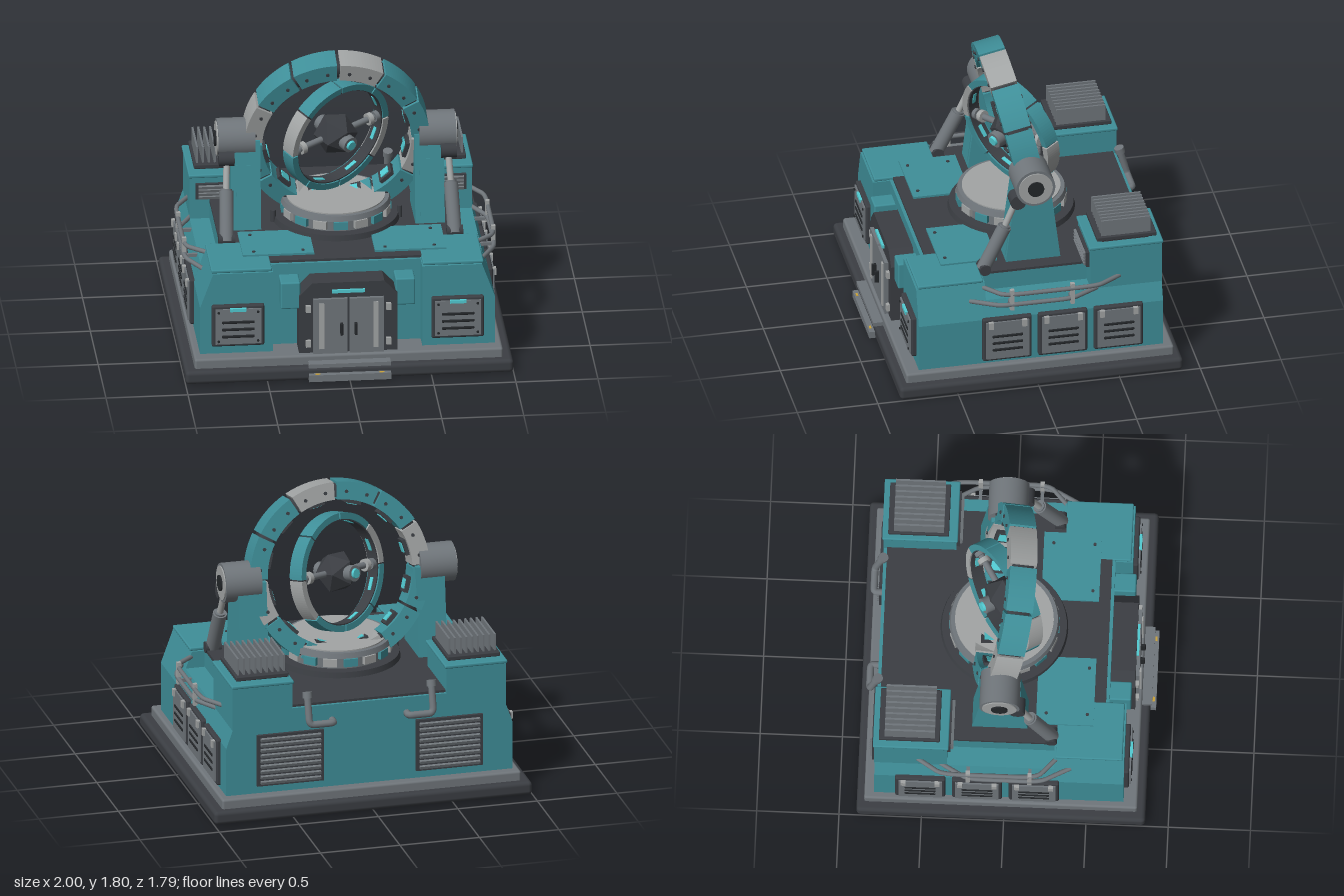
import * as THREE from 'three';
import { RoundedBoxGeometry } from 'three/addons/geometries/RoundedBoxGeometry.js';

const mat = (color) => new THREE.MeshStandardMaterial({ color });
const teal = mat(0x3f8f99), dark = mat(0x3b3e43), black = mat(0x24272a);
const grey = mat(0x70767b), light = mat(0xa2a5a5), glow = mat(0x52cbd2), yellow = mat(0xc9a23a);
const ZC = -0.037; // centre line of turntable and rings
const V = (x, y, z) => new THREE.Vector3(x, y, z);

function add(parent, name, geo, material, x = 0, y = 0, z = 0) {
  const m = new THREE.Mesh(geo, material);
  m.name = name;
  m.position.set(x, y, z);
  parent.add(m);
  return m;
}
function group(parent, name, x = 0, y = 0, z = 0) {
  const g = new THREE.Group();
  g.name = name;
  g.position.set(x, y, z);
  parent.add(g);
  return g;
}
// Box given by its min and max on each axis, optionally rounded
function box(parent, name, material, [x0, x1], [y0, y1], [z0, z1], r = 0) {
  const w = Math.abs(x1 - x0), h = y1 - y0, d = z1 - z0;
  const geo = r ? new RoundedBoxGeometry(w, h, d, 2, r) : new THREE.BoxGeometry(w, h, d);
  return add(parent, name, geo, material, (x0 + x1) / 2, (y0 + y1) / 2, (z0 + z1) / 2);
}
// Cylinder between two points
function rod(parent, name, material, a, b, r, r2 = r, sides = 20) {
  const d = b.clone().sub(a);
  const m = add(parent, name, new THREE.CylinderGeometry(r2, r, d.length(), sides), material);
  m.position.copy(a).add(b).multiplyScalar(0.5);
  m.quaternion.setFromUnitVectors(V(0, 1, 0), d.normalize());
  return m;
}
// Outline in x and y pushed from z0 to z1
function prism(parent, name, material, pts, z0, z1) {
  const shape = new THREE.Shape(pts.map((p) => new THREE.Vector2(...p)));
  const geo = new THREE.ExtrudeGeometry(shape, { depth: z1 - z0, bevelEnabled: false });
  return add(parent, name, geo, material, 0, 0, z0);
}
// Pipe with straight runs and rounded corners
function pipe(parent, name, material, pts, r) {
  const path = new THREE.CurvePath();
  let from = pts[0];
  for (let i = 1; i < pts.length - 1; i++) {
    const a = pts[i].clone().lerp(pts[i - 1], 0.2), b = pts[i].clone().lerp(pts[i + 1], 0.2);
    path.add(new THREE.LineCurve3(from, a));
    path.add(new THREE.QuadraticBezierCurve3(a, pts[i], b));
    from = b;
  }
  path.add(new THREE.LineCurve3(from, pts[pts.length - 1]));
  add(parent, name, new THREE.TubeGeometry(path, 40, r, 10), material);
}
// Arc block of a ring, centred on z
function arcBlock(parent, name, material, r0, r1, a0, a1, depth) {
  const s = new THREE.Shape();
  s.absarc(0, 0, r1, a0, a1, false);
  s.absarc(0, 0, r0, a1, a0, true);
  const geo = new THREE.ExtrudeGeometry(s, { depth, bevelEnabled: false, curveSegments: 8 });
  return add(parent, name, geo, material, 0, 0, -depth / 2);
}
// Framed access panel facing +z
function ventPanel(parent, name, w, h, x, y, z, turn = 0, strip = true) {
  const g = group(parent, name, x, y, z);
  g.rotation.y = turn;
  box(g, 'panelFrame', dark, [-w / 2, w / 2], [-h / 2, h / 2], [-0.02, 0.02], 0.012);
  box(g, 'panelDoor', grey, [-w / 2 + 0.02, w / 2 - 0.02], [-h / 2 + 0.02, h / 2 - 0.02], [0, 0.03]);
  for (let i = 0; i < 3; i++) {
    const sy = -0.065 + i * 0.047;
    box(g, 'panelSlot', black, [-w * 0.31, w * 0.31], [sy - 0.009, sy + 0.009], [0.02, 0.036], 0.006);
  }
  if (strip) box(g, 'panelLight', glow, [-0.05, 0.05], [h / 2 - 0.035, h / 2 - 0.015], [0.02, 0.037]);
  for (const s of [-1, 1]) {
    if (!strip) box(g, 'panelClip', light, [s * w * 0.34 - 0.015, s * w * 0.34 + 0.015], [h / 2 - 0.06, h / 2 - 0.015], [0.02, 0.042]);
    else for (const t of [-1, 1]) rod(g, 'panelBolt', black, V(s * (w / 2 - 0.04), t * (h / 2 - 0.04), 0.02), V(s * (w / 2 - 0.04), t * (h / 2 - 0.04), 0.037), 0.008, 0.008, 8);
  }
}
// Louvred grille facing +z
function grille(parent, name, w, h, n, x, y, z, turn = 0) {
  const g = group(parent, name, x, y, z);
  g.rotation.y = turn;
  box(g, 'grilleFrame', dark, [-w / 2, w / 2], [-h / 2, h / 2], [-0.01, 0.016]);
  for (let i = 0; i < n; i++) {
    const sy = -h / 2 + (h * (i + 0.75)) / (n + 0.5);
    box(g, 'grilleSlat', grey, [-w * 0.45, w * 0.45], [sy - 0.009, sy + 0.009], [0, 0.03]).rotation.x = 0.3;
  }
}

function buildBase(root) {
  const g = group(root, 'base');
  box(g, 'baseSlab', dark, [-1, 1], [0, 0.085], [-0.895, 0.86], 0.025);
  box(g, 'plinth', grey, [-0.94, 0.94], [0.07, 0.145], [-0.85, 0.81], 0.015);
  box(g, 'lowerStep', grey, [-0.25, 0.25], [0.005, 0.048], [0.8, 0.895]);
  box(g, 'upperStep', grey, [-0.25, 0.25], [0.085, 0.11], [0.78, 0.87]);
  for (const s of [-1, 1]) box(g, 'stepMarker', yellow, [s * 0.18, s * 0.21], [0.04, 0.051], [0.872, 0.885]);
}

function buildBody(root) {
  const g = group(root, 'body');
  const half = [[0.9, 0.14], [0.9, 0.45], [0.86, 0.565], [0.74, 0.565], [0.74, 0.675]];
  const mirrored = half.map(([x, y]) => [-x, y]).reverse();
  prism(g, 'hull', teal, [...half, ...mirrored], -0.79, 0.32);
  box(g, 'frontHull', teal, [-0.47, 0.47], [0.14, 0.675], [0.3, 0.62]);
  box(g, 'deck', dark, [-0.74, 0.74], [0.67, 0.69], [-0.77, 0.6]);
  for (const s of [-1, 1]) {
    // Front corner pods
    const pod = [[0.455, 0.14], [0.9, 0.14], [0.9, 0.45], [0.82, 0.67], [0.455, 0.67]].map(([x, y]) => [s * x, y]);
    prism(g, 'frontPod', teal, pod, 0.3, 0.725);
    box(g, 'podLid', teal, [s * 0.46, s * 0.83], [0.67, 0.692], [0.31, 0.715], 0.008);
    box(g, 'deckPlate', teal, [s * 0.185, s * 0.62], [0.685, 0.703], [0.18, 0.53]);
    for (const [x, z] of [[0.25, 0.49], [0.55, 0.49], [0.55, 0.24]]) rod(g, 'plateBolt', dark, V(s * x, 0.7, z), V(s * x, 0.71, z), 0.01, 0.01, 8);
    ventPanel(g, 'frontPanel', 0.32, 0.27, s * 0.67, 0.335, 0.735);
    for (const z of [0.18, -0.165, -0.51]) ventPanel(g, 'sidePanel', 0.305, 0.295, s * 0.905, 0.315, z, s * Math.PI / 2, false);
    grille(g, 'rearGrille', 0.42, 0.33, 9, s * 0.5, 0.36, -0.795, Math.PI);
    // Rear tower with heat sink
    const t = group(g, 'rearTower');
    box(t, 'towerBox', teal, [s * 0.485, s * 0.86], [0.56, 0.84], [-0.793, -0.35]);
    box(t, 'towerLid', teal, [s * 0.475, s * 0.867], [0.835, 0.857], [-0.8, -0.34], 0.008);
    box(t, 'sinkFoot', dark, [s * 0.53, s * 0.81], [0.85, 0.872], [-0.72, -0.43]);
    box(t, 'sinkBase', dark, [s * 0.5, s * 0.83], [0.872, 0.9], [-0.765, -0.395], 0.006);
    for (let i = 0; i < 9; i++) {
      const x = 0.52 + i * 0.036;
      box(t, 'sinkFin', grey, [s * (x - 0.006), s * (x + 0.006)], [0.89, 1.005], [-0.73, -0.425]);
    }
    grille(t, 'towerGrille', 0.32, 0.1, 4, s * 0.665, 0.75, -0.345);
    // Side rails
    pipe(g, 'upperRail', grey, [V(s * 0.8, 0.635, 0.33), V(s * 0.945, 0.635, 0.2), V(s * 0.945, 0.635, -0.38), V(s * 0.85, 0.635, -0.53)], 0.014);
    pipe(g, 'lowerRail', grey, [V(s * 0.85, 0.565, 0.4), V(s * 0.945, 0.565, 0.22), V(s * 0.945, 0.565, -0.22), V(s * 0.85, 0.565, -0.39)], 0.014);
    for (const z of [0.155, -0.22]) {
      box(g, 'railClamp', light, [s * 0.93, s * 0.955], [0.53, 0.67], [z - 0.013, z + 0.013]);
      box(g, 'railArm', grey, [s * 0.84, s * 0.94], [0.54, 0.56], [z - 0.01, z + 0.01]);
    }
    // Rear pipe
    pipe(g, 'rearPipe', grey, [V(s * 0.39, 0.76, -0.79), V(s * 0.39, 0.575, -0.84), V(s * 0.235, 0.575, -0.84), V(s * 0.235, 0.575, -0.77)], 0.022);
    rod(g, 'pipeCap', grey, V(s * 0.39, 0.735, -0.797), V(s * 0.39, 0.77, -0.787), 0.03);
  }
}

function buildDoor(root) {
  const g = group(root, 'entrance');
  prism(g, 'doorFrame', dark, [[-0.3, 0.14], [0.3, 0.14], [0.3, 0.52], [0.22, 0.605], [-0.22, 0.605], [-0.3, 0.52]], 0.6, 0.77);
  box(g, 'doorLight', glow, [-0.1, 0.1], [0.54, 0.56], [0.76, 0.785]);
  for (const s of [-1, 1]) {
    box(g, 'door', grey, [s * 0.006, s * 0.215], [0.145, 0.505], [0.76, 0.792]);
    box(g, 'doorStrip', light, [s * 0.15, s * 0.18], [0.18, 0.48], [0.79, 0.802]);
    box(g, 'doorHandle', black, [s * 0.035, s * 0.052], [0.27, 0.35], [0.79, 0.82], 0.006);
    for (const y of [0.21, 0.44]) box(g, 'doorHinge', light, [s * 0.23, s * 0.26], [y - 0.022, y + 0.022], [0.76, 0.79]);
    box(g, 'doorBracket', teal, [s * 0.29, s * 0.41], [0.43, 0.605], [0.6, 0.75], 0.01);
  }
}

function buildTurntable(root) {
  const g = group(root, 'turntable', 0, 0, ZC);
  rod(g, 'turntableFoot', dark, V(0, 0.68, 0), V(0, 0.725, 0), 0.39, 0.38, 48);
  rod(g, 'turntableDrum', grey, V(0, 0.72, 0), V(0, 0.8, 0), 0.315, 0.315, 48);
  rod(g, 'turntableRim', grey, V(0, 0.795, 0), V(0, 0.828, 0), 0.335, 0.325, 48);
  rod(g, 'turntableTop', light, V(0, 0.82, 0), V(0, 0.836, 0), 0.3, 0.3, 48);
  for (let i = 0; i < 16; i++) {
    const a = (i * Math.PI) / 8;
    const b = add(g, 'drumBlock', new THREE.BoxGeometry(0.085, 0.05, 0.03), i % 2 ? light : teal, 0.32 * Math.sin(a), 0.765, 0.32 * Math.cos(a));
    b.rotation.y = a;
  }
  for (const s of [-1, 1]) rod(g, 'deckPost', dark, V(s * 0.385, 0.69, 0.05), V(s * 0.385, 0.765, 0.05), 0.016);
}

function buildSupports(root) {
  for (const s of [-1, 1]) {
    const g = group(root, 'ringSupport', 0, 0, ZC);
    const arm = prism(g, 'supportArm', teal, [[-0.17, 0.68], [0.17, 0.68], [0.1, 1.25], [-0.1, 1.25]], 0, 0.18);
    arm.geometry.rotateY(-Math.PI / 2);
    arm.position.set(s * 0.56 + 0.09, 0, 0);
    const skin = box(g, 'armPlate', teal, [s * 0.5, s * 0.62], [0.72, 1.1], [0.13, 0.145]);
    skin.rotation.x = -0.122;
    rod(g, 'hub', grey, V(s * 0.5, 1.235, 0), V(s * 0.725, 1.235, 0), 0.122, 0.122, 32);
    rod(g, 'hubFace', light, V(s * 0.72, 1.235, 0), V(s * 0.732, 1.235, 0), 0.105, 0.105, 32);
    rod(g, 'hubAxle', black, V(s * 0.725, 1.235, 0), V(s * 0.742, 1.235, 0), 0.05, 0.05, 24);
    // Hydraulic strut
    const foot = V(s * 0.695, 0.69, 0.32), mid = V(s * 0.685, 0.965, 0.185), top = V(s * 0.675, 1.145, 0.107);
    rod(g, 'strutBody', grey, foot, mid, 0.043);
    rod(g, 'strutCollar', grey, mid, mid.clone().lerp(top, 0.06), 0.034);
    rod(g, 'strutRod', light, mid, top, 0.02);
    rod(g, 'strutPivot', dark, V(s * 0.63, 1.145, 0.107), V(s * 0.725, 1.145, 0.107), 0.048);
    rod(g, 'strutFootPivot', dark, V(s * 0.645, 0.7, 0.315), V(s * 0.745, 0.7, 0.315), 0.035);
  }
}

function buildRings(root) {
  const outer = group(root, 'outerRing', 0, 1.235, ZC);
  outer.rotation.x = 0.21;
  const core = new THREE.LatheGeometry([[0.47, -0.065], [0.55, -0.065], [0.55, 0.065], [0.47, 0.065], [0.47, -0.065]].map((p) => new THREE.Vector2(...p)), 48);
  add(outer, 'ringCore', core.toNonIndexed(), dark).rotation.x = Math.PI / 2;
  core.computeVertexNormals();
  for (let i = 0; i < 12; i++) {
    const a0 = (i * Math.PI) / 6, c = a0 + Math.PI / 12;
    arcBlock(outer, 'ringSegment', i % 3 === 2 ? light : teal, 0.455, 0.565, a0 + 0.018, a0 + Math.PI / 6 - 0.018, 0.165);
    for (const d of [-0.13, 0.13]) for (const s of [-1, 1]) {
      const x = 0.505 * Math.cos(c + d), y = 0.505 * Math.sin(c + d);
      rod(outer, 'ringBolt', dark, V(x, y, s * 0.08), V(x, y, s * 0.09), 0.011, 0.011, 8);
    }
    const pad = group(outer, 'ringPad');
    pad.rotation.z = c;
    box(pad, 'padBlock', dark, [0.43, 0.47], [-0.05, 0.05], [-0.05, 0.05]);
    box(pad, 'padLight', glow, [0.424, 0.44], [-0.03, 0.03], [-0.03, 0.03]);
  }

  const inner = group(outer, 'innerRing');
  inner.rotation.y = 0.56;
  for (let i = 0; i < 8; i++) {
    const a0 = (i * Math.PI) / 4;
    arcBlock(inner, 'innerSegment', i % 4 === 3 ? light : teal, 0.325, 0.365, a0 + 0.015, a0 + Math.PI / 4 - 0.015, 0.1);
    arcBlock(inner, 'innerLiner', dark, 0.318, 0.355, a0, a0 + Math.PI / 4, 0.08);
    const strip = group(inner, 'innerStrip');
    strip.rotation.z = a0 + Math.PI / 8;
    box(strip, 'stripLight', glow, [0.312, 0.325], [-0.04, 0.04], [-0.012, 0.012]);
  }

  // Faceted core on its axle
  add(inner, 'coreCrystal', new THREE.IcosahedronGeometry(0.135, 0), dark);
  for (const s of [-1, 1]) {
    rod(inner, 'axle', grey, V(s * 0.08, 0, 0), V(s * 0.33, 0, 0), 0.02);
    rod(inner, 'axleCollar', light, V(s * 0.24, 0, 0), V(s * 0.27, 0, 0), 0.038);
    rod(inner, 'axleEnd', grey, V(s * 0.29, 0, 0), V(s * 0.325, 0, 0), 0.034);
    rod(inner, 'coreLens', grey, V(0, 0, s * 0.08), V(0, 0, s * 0.15), 0.05);
    rod(inner, 'coreLensTip', glow, V(0, 0, s * 0.14), V(0, 0, s * 0.165), 0.034, 0.028);
  }
}

export function createModel() {
  const root = new THREE.Group();
  root.name = 'gyroStation';
  buildBase(root);
  buildBody(root);
  buildDoor(root);
  buildTurntable(root);
  buildSupports(root);
  buildRings(root);
  return root;
}
